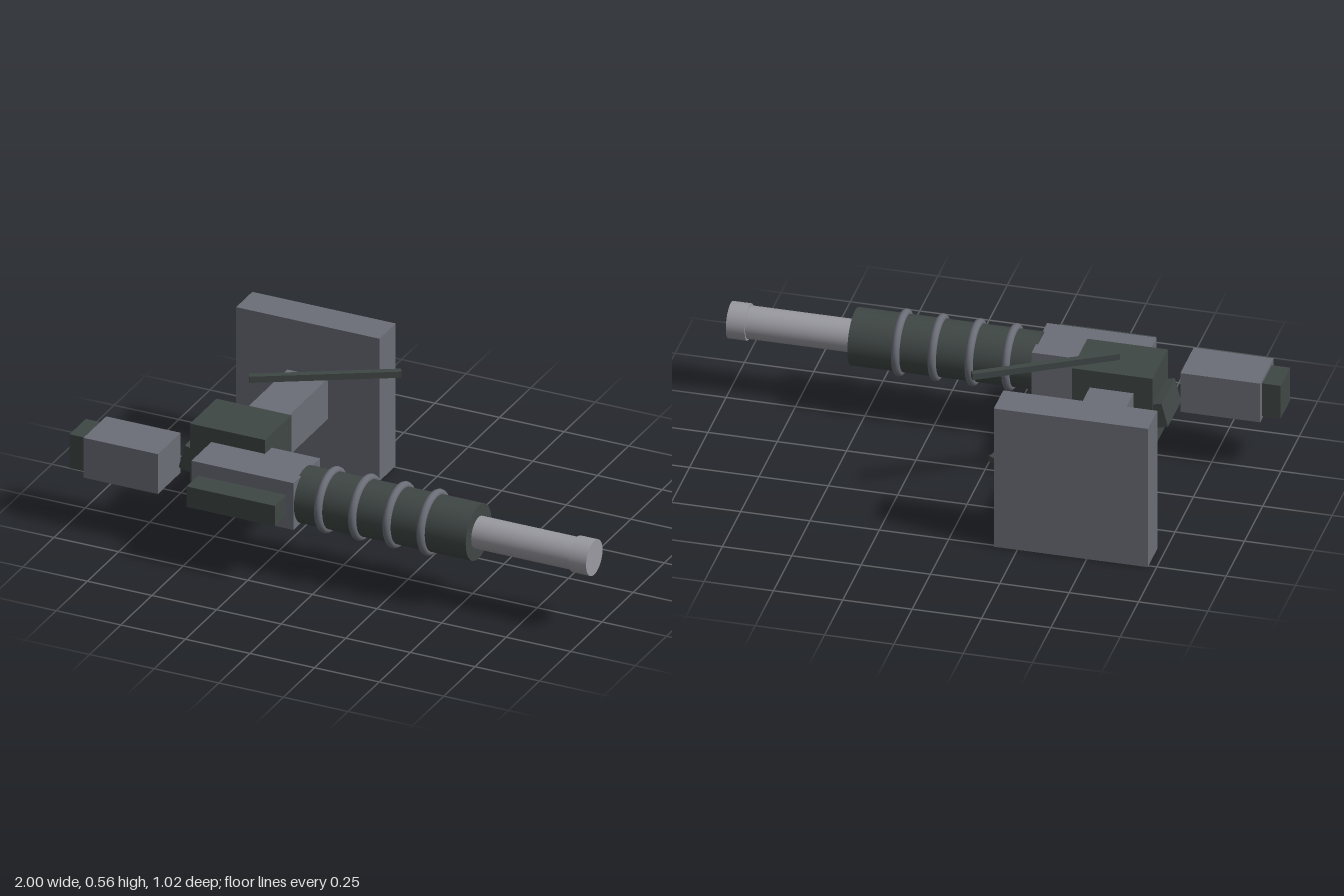
import * as THREE from 'three';

const mat = (name, color) => {
  const m = new THREE.MeshStandardMaterial({ color });
  m.name = name;
  return m;
};

export function createModel() {
  const root = new THREE.Group();
  root.name = 'mountedGun';
  const grey = mat('steelGrey', 0x6b6e77);
  const dark = mat('darkGunmetal', 0x3f4745);
  const light = mat('lightSteel', 0x9a9aa1);

  const add = (name, geometry, material, x, y, z) => {
    const mesh = new THREE.Mesh(geometry, material);
    mesh.name = name;
    mesh.position.set(x, y, z);
    root.add(mesh);
    return mesh;
  };
  // Box given by its extents on each axis
  const box = (name, material, [x0, x1], [y0, y1], [z0, z1]) =>
    add(name, new THREE.BoxGeometry(x1 - x0, y1 - y0, z1 - z0), material,
      (x0 + x1) / 2, (y0 + y1) / 2, (z0 + z1) / 2);

  // Barrel axis runs along x
  const axisY = 0.28, axisZ = 0.311;
  const tube = (name, material, x0, x1, radius) =>
    add(name, new THREE.CylinderGeometry(radius, radius, x1 - x0, 32).rotateZ(-Math.PI / 2),
      material, (x0 + x1) / 2, axisY, axisZ);

  // Mount: back plate, arm and pivot block
  box('mountPlate', grey, [-0.72, -0.165], [0, 0.558], [-0.51, -0.38]);
  box('mountArm', grey, [-0.522, -0.364], [0.2, 0.358], [-0.4, 0.06]);
  box('pivotBlock', dark, [-0.59, -0.3], [0.134, 0.426], [0.047, 0.258]);

  // Receiver with side magazine
  box('receiver', grey, [-0.508, -0.113], [0.189, 0.372], [0.205, 0.417]);
  box('sideMagazine', dark, [-0.482, -0.14], [0.24, 0.32], [0.41, 0.51]);

  // Tilted grip behind the pivot block
  const grip = add('grip', new THREE.BoxGeometry(0.09, 0.093, 0.183), dark, -0.588, 0.269, 0.148);
  grip.rotation.z = -0.25;

  // Stock and butt pad
  box('stock', grey, [-0.933, -0.645], [0.204, 0.36], [0.22, 0.402]);
  box('buttPad', dark, [-1, -0.93], [0.215, 0.347], [0.245, 0.376]);

  // Barrel, jacket, muzzle
  tube('barrelJacket', dark, -0.12, 0.552, 0.103);
  tube('barrel', light, 0.5, 0.95, 0.059);
  tube('muzzle', light, 0.932, 1, 0.066);

  // Cooling rings
  for (const x of [-0.018, 0.114, 0.247, 0.379]) {
    add('coolingRing', new THREE.TorusGeometry(0.105, 0.015, 10, 36).rotateY(Math.PI / 2),
      grey, x, axisY, axisZ);
  }

  // Crossed rods above and below the arm
  for (const side of [1, -1]) {
    const rod = add(side > 0 ? 'upperRod' : 'lowerRod', new THREE.BoxGeometry(0.532, 0.024, 0.024),
      dark, -0.246, 0.279 + side * 0.24, -0.112);
    rod.rotation.y = side * Math.PI / 6;
  }

  return root;
}
